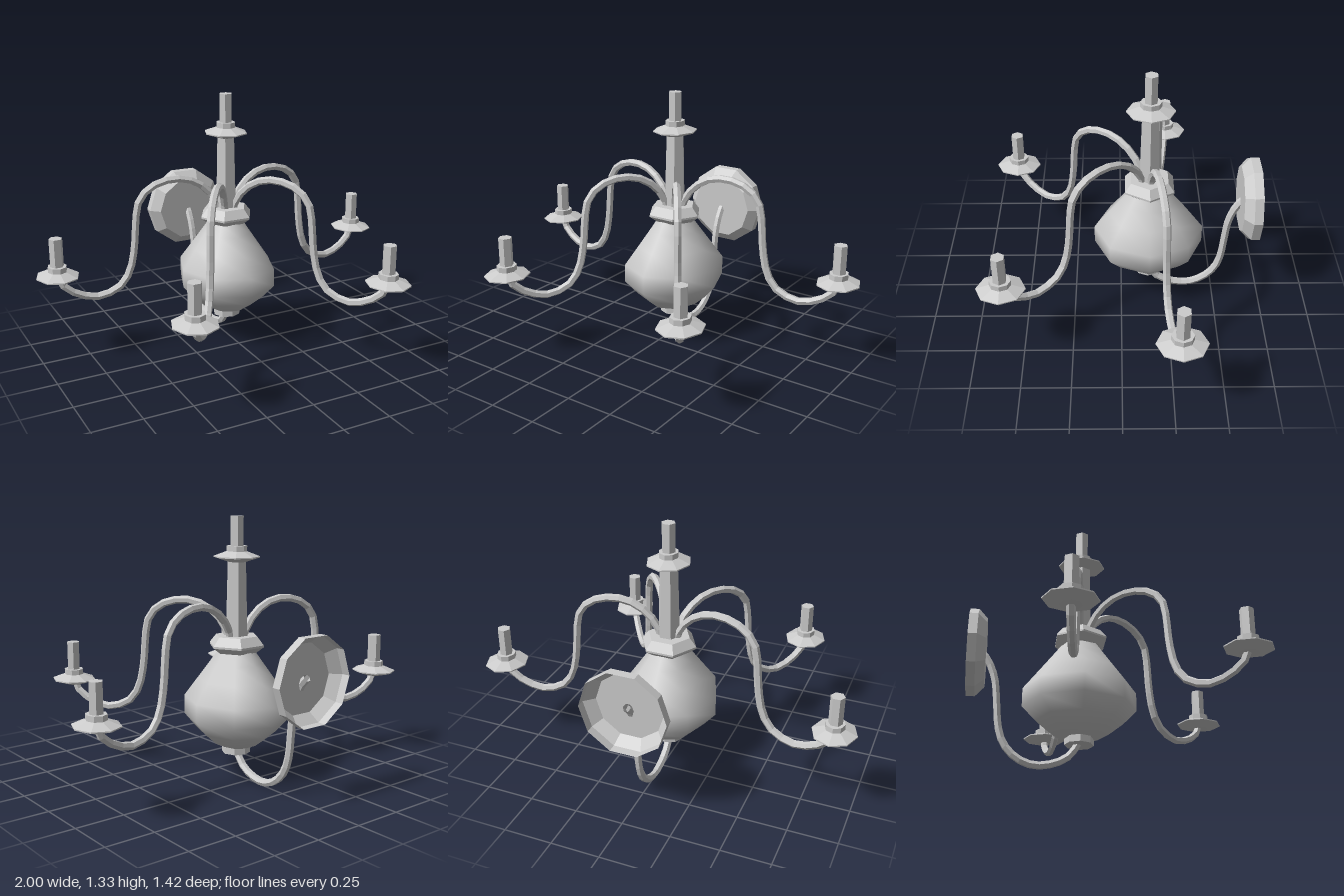
import * as THREE from 'three';

const AXIS_Z = -0.145; // the vertical axis sits in front of the wall plate

const material = (flatShading) =>
  new THREE.MeshStandardMaterial({ color: 0xcccccc, flatShading, side: THREE.DoubleSide });
const flat = material(true);
const smooth = material(false);

// Turned part from [radius, height] pairs, listed bottom to top
function turned(name, profile, sides, squash = 1, mat = flat) {
  const points = profile.map(([r, y]) => new THREE.Vector2(r, y));
  const mesh = new THREE.Mesh(new THREE.LatheGeometry(points, sides, Math.PI / 2), mat);
  mesh.geometry.scale(squash, 1, 1);
  mesh.name = name;
  return mesh;
}

// Curved tube from [distance from axis, height] pairs, heading in direction (dx, dz)
function arm(name, path, dx, dz, segments) {
  const curve = new THREE.CatmullRomCurve3(
    path.map(([r, y]) => new THREE.Vector3(r * dx, y, r * dz)));
  const mesh = new THREE.Mesh(new THREE.TubeGeometry(curve, segments, 0.02, 6), flat);
  mesh.name = name;
  return mesh;
}

// Drip dish, cup and candle; the origin is at the height of the dish rim
function candleHolder(name) {
  const group = new THREE.Group();
  group.name = name;
  group.add(
    turned('dripDish', [[0, -0.025], [0.05, -0.025], [0.122, -0.003], [0.122, 0.003], [0.054, 0.027]], 8, 0.9),
    turned('candleCup', [[0.054, 0.02], [0.054, 0.054], [0, 0.054]], 8, 0.9),
    turned('candle', [[0.035, 0.05], [0.035, 0.2], [0, 0.2]], 6),
  );
  return group;
}

export function createModel() {
  const model = new THREE.Group();
  model.name = 'wallChandelier';
  const fixture = new THREE.Group();
  fixture.name = 'fixture';
  fixture.position.z = AXIS_Z;
  model.add(fixture);

  // Central column
  fixture.add(
    turned('bottomCap', [[0, 0.13], [0.073, 0.13], [0.073, 0.165], [0, 0.165]], 8),
    turned('body', [[0.07, 0.16], [0.15, 0.195], [0.218, 0.249], [0.287, 0.321], [0.287, 0.417],
      [0.21, 0.516], [0.145, 0.6], [0.1, 0.66]], 8, 0.885, smooth),
    turned('collar', [[0, 0.655], [0.105, 0.655], [0.145, 0.685], [0.145, 0.695], [0.11, 0.738], [0, 0.738]], 6),
    turned('stem', [[0.058, 0.72], [0.048, 1.12]], 6),
  );
  const topHolder = candleHolder('topCandleHolder');
  topHolder.position.y = 1.132;
  fixture.add(topHolder);

  // Four swan-neck arms, each ending in a candle holder
  const armPath = [[0.035, 0.7], [0.055, 0.765], [0.115, 0.847], [0.21, 0.9], [0.32, 0.905],
    [0.416, 0.868], [0.468, 0.807], [0.484, 0.74], [0.502, 0.55], [0.53, 0.436], [0.578, 0.365],
    [0.694, 0.32], [0.807, 0.35], [0.878, 0.405], [0.899, 0.46]];
  for (const side of [1, -1]) {
    for (const [place, x, z] of [['rear', 0.89, -0.125], ['front', 0.525, 0.73]]) {
      const name = (side > 0 ? 'left' : 'right') + (place === 'rear' ? 'Rear' : 'Front');
      const reach = Math.hypot(x, z);
      fixture.add(arm(name + 'Arm', armPath, side * x / reach, z / reach, 22));
      const holder = candleHolder(name + 'CandleHolder');
      holder.position.set(side * x, 0.457, z);
      fixture.add(holder);
    }
  }

  // Bracket from the bottom cap back to the wall plate
  const bracketPath = [[0, 0.15], [0.04, 0.082], [0.105, 0.04], [0.212, 0.021], [0.3, 0.053],
    [0.365, 0.12], [0.395, 0.2], [0.411, 0.34], [0.425, 0.455], [0.455, 0.54], [0.488, 0.59], [0.51, 0.61]];
  fixture.add(arm('wallBracket', bracketPath, 0, -1, 20));

  // Wall plate: shallow shell, open at the back
  const plate = turned('wallPlate', [[0.222, 0], [0.222, 0.045], [0.175, 0.09], [0, 0.09]], 10);
  plate.rotation.x = Math.PI / 2;
  plate.position.set(0, 0.6, -0.712);
  model.add(plate);

  return model;
}
